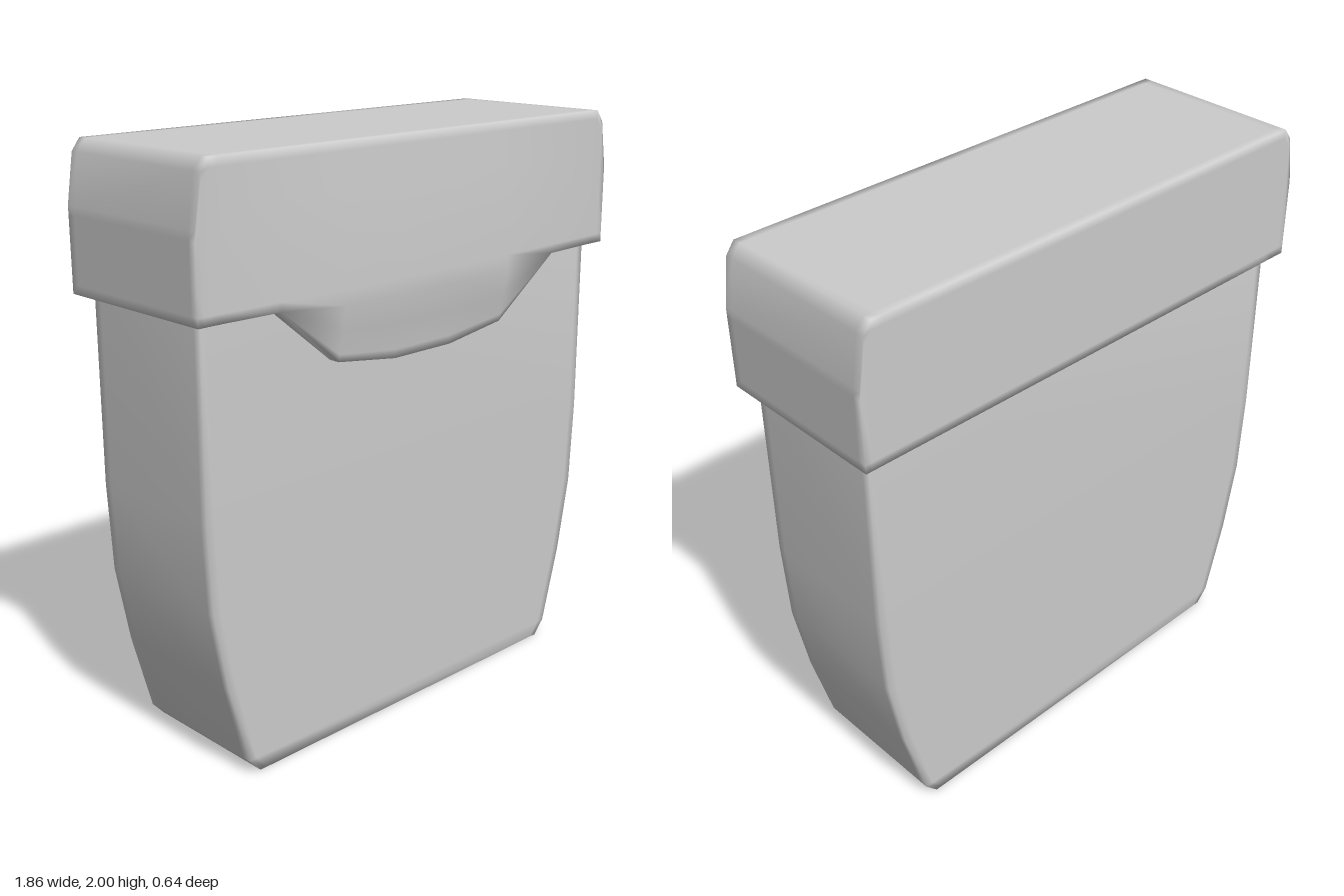
import * as THREE from 'three';
import { mergeVertices } from 'three/addons/utils/BufferGeometryUtils.js';

const EDGE = 0.03; // distance of the support loops that soften the edges
const { lerp, clamp } = THREE.MathUtils;

// Piecewise linear lookup in [[key, value], ...] with rising keys
function lookup(table, k) {
  if (k <= table[0][0]) return table[0][1];
  for (let i = 1; i < table.length; i++) {
    const [k0, v0] = table[i - 1], [k1, v1] = table[i];
    if (k <= k1) return lerp(v0, v1, (k - k0) / (k1 - k0));
  }
  return table[table.length - 1][1];
}

// Shrinks a flat end ring by EDGE, so that its cap shades flat
function inset(ring) {
  const box = new THREE.Box3().setFromPoints(ring);
  const size = box.getSize(new THREE.Vector3());
  const pull = (v, a, lo, hi) => (size[a] < EDGE * 2 ? v : clamp(v, lo + EDGE, hi - EDGE));
  return ring.map((p) => new THREE.Vector3(
    pull(p.x, 'x', box.min.x, box.max.x),
    pull(p.y, 'y', box.min.y, box.max.y),
    pull(p.z, 'z', box.min.z, box.max.z)));
}

// Closed smooth solid through a row of rings with equal point counts
function loft(sections) {
  const rings = [inset(sections[0]), ...sections, inset(sections[sections.length - 1])];
  const n = rings[0].length;
  const points = rings.flat();
  const index = [];
  for (let r = 0; r < rings.length - 1; r++) {
    for (let i = 0; i < n; i++) {
      const a = r * n + i, b = r * n + (i + 1) % n;
      index.push(a, b, b + n, a, b + n, a + n);
    }
  }
  [0, rings.length - 1].forEach((r) => {
    const centre = new THREE.Box3().setFromPoints(rings[r]).getCenter(new THREE.Vector3());
    const c = points.push(centre) - 1;
    for (let i = 0; i < n; i++) {
      const a = r * n + i, b = r * n + (i + 1) % n;
      index.push(...(r === 0 ? [c, b, a] : [c, a, b]));
    }
  });
  // Turn the faces outward
  let volume = 0;
  const cross = new THREE.Vector3();
  for (let i = 0; i < index.length; i += 3) {
    volume += points[index[i]].dot(cross.crossVectors(points[index[i + 1]], points[index[i + 2]]));
  }
  if (volume < 0) index.reverse();

  const geometry = new THREE.BufferGeometry().setFromPoints(points);
  geometry.setIndex(index);
  const merged = mergeVertices(geometry, 1e-4);
  merged.computeVertexNormals();
  return merged;
}

// Body: rectangular sections stacked upward, tapering to the base
function bodyGeometry() {
  const profile = [[0, 0.7], [0.05, 0.745], [0.33, 0.82], [0.6, 0.87], [0.9, 0.885], [1.6, 0.885]];
  const back = -0.27, front = 0.25;
  return loft(profile.map(([y, w]) => [
    [-w, back], [-w + EDGE, back], [w - EDGE, back],
    [w, back], [w, back + EDGE], [w, front - EDGE],
    [w, front], [w - EDGE, front], [-w + EDGE, front],
    [-w, front], [-w, front - EDGE], [-w, back + EDGE],
  ].map(([x, z]) => new THREE.Vector3(x, y, z))));
}

// Lid: sections across x, with a bulging front that hangs down as a flap
function lidGeometry() {
  const rim = 1.525, back = -0.32, flapBack = 0.25;
  // [x, top height, lower edge of the front]
  const half = [
    [0.13, 2, 1.285], [0.38, 2, 1.32], [0.63, 2, rim],
    [0.84, 2, rim], [0.875, 2, rim], [0.905, 1.96, rim], [0.93, 1.8, rim],
  ];
  const columns = [...half.map(([x, t, b]) => [-x, t, b]).reverse(), [0, 2, 1.285], ...half];
  return loft(columns.map(([x, top, low]) => {
    const f = lookup([[0.4, 1], [0.86, 0]], Math.abs(x));
    const frontZ = (y) => lookup(
      [[1.32, 0.29], [1.5, 0.3 + 0.025 * f], [1.72, 0.3 + 0.02 * f], [2, 0.3]], y);
    const frontRows = [
      top, top - EDGE, lerp(top, rim, 0.3), lerp(top, rim, 0.6), rim + EDGE,
      lerp(rim, low, 0.1), lerp(rim, low, 0.5), lerp(rim, low, 0.88), low,
    ].map((y) => [y, low === rim ? Math.max(0.3, frontZ(y)) : frontZ(y)]);
    return [
      [rim, back], [rim + EDGE, back], [top - EDGE, back], [top, back],
      [top, back + EDGE], [top, 0.3 - EDGE],
      ...frontRows,
      [low, flapBack], [rim, flapBack], [rim, back + EDGE],
    ].map(([y, z]) => new THREE.Vector3(x, y, z));
  }));
}

export function createModel() {
  const group = new THREE.Group();
  group.name = 'liddedContainer';
  const material = new THREE.MeshStandardMaterial({ color: 0xcccccc });
  const add = (name, geometry) => {
    const mesh = new THREE.Mesh(geometry, material);
    mesh.name = name;
    group.add(mesh);
  };
  add('body', bodyGeometry());
  add('lidWithFlap', lidGeometry());
  return group;
}
